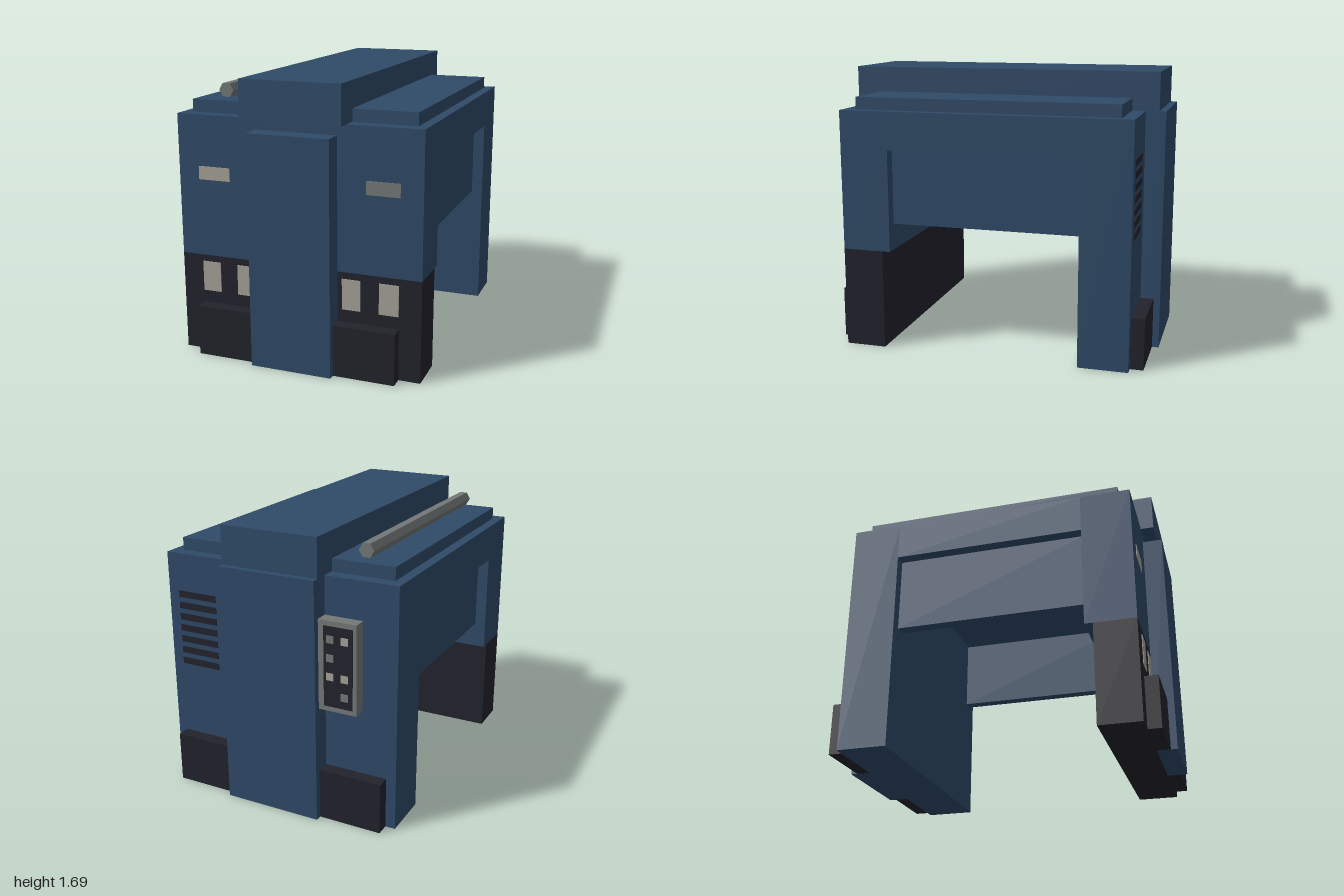
import * as THREE from 'three';

export function createModel() {
  const model = new THREE.Group();
  const mat = (name, color) => {
    const m = new THREE.MeshStandardMaterial({ color });
    m.name = name;
    return m;
  };
  const blue = mat('blue paint', 0x2f4a68);
  const dark = mat('dark base', 0x22222c);
  const beige = mat('beige plate', 0xa5a297);
  const grey = mat('grey metal', 0x737877);

  // Box given by its limits on each axis
  const box = (name, material, [x0, x1], [y0, y1], [z0, z1]) => {
    const mesh = new THREE.Mesh(new THREE.BoxGeometry(x1 - x0, y1 - y0, z1 - z0), material);
    mesh.position.set((x0 + x1) / 2, (y0 + y1) / 2, (z0 + z1) / 2);
    mesh.name = name;
    model.add(mesh);
    return mesh;
  };
  // The same box on both sides of x = 0
  const pair = (name, material, [x0, x1], y, z) => {
    box(name + 'Left', material, [x0, x1], y, z);
    box(name + 'Right', material, [-x1, -x0], y, z);
  };

  // Gantry: two towers joined by a roof
  box('frontTower', blue, [-0.75, 0.75], [0.61, 1.46], [0.58, 0.88]);
  box('frontBase', dark, [-0.75, 0.75], [0, 0.61], [0.63, 0.88]);
  box('backTower', blue, [-0.75, 0.75], [0, 1.46], [-0.88, -0.58]);
  box('roof', blue, [-0.75, 0.75], [1.23, 1.46], [-0.58, 0.58]);
  pair('sidePanel', blue, [0.61, 0.68], [0.77, 1.23], [-0.58, 0.58]);

  // Roof covers and centre spine
  pair('roofCover', blue, [0.31, 0.69], [1.46, 1.535], [-0.8, 0.8]);
  box('roofSpine', blue, [-0.305, 0.305], [1.46, 1.69], [-0.96, 0.96]);
  box('frontColumn', blue, [-0.25, 0.25], [0, 1.395], [0.88, 1]);
  box('backColumn', blue, [-0.305, 0.305], [0, 1.46], [-1, -0.88]);

  // Kick boxes at the feet
  pair('frontKickBox', dark, [0.25, 0.62], [0, 0.31], [0.88, 0.96]);
  pair('backKickBox', dark, [0.305, 0.69], [0, 0.31], [-0.96, -0.88]);

  // Painted front plates
  const skin = [0.88, 0.884];
  pair('innerWindow', beige, [0.277, 0.388], [0.385, 0.57], skin);
  pair('outerWindow', beige, [0.5, 0.617], [0.385, 0.57], skin);
  box('labelRight', beige, [-0.62, -0.42], [1.075, 1.155], skin);
  box('labelLeft', grey, [0.42, 0.62], [1.075, 1.155], skin);

  // Vent slots on the back
  for (let i = 0; i < 7; i++) {
    const y = 1.21 - i * 0.071;
    box('ventSlot', dark, [0.42, 0.68], [y - 0.02, y + 0.02], [-0.884, -0.88]);
  }

  // Control panel on the back
  box('controlPanel', grey, [-0.54, -0.305], [0.7, 1.235], [-0.96, -0.88]);
  box('controlFace', dark, [-0.518, -0.34], [0.73, 1.205], [-0.964, -0.96]);
  const buttons = [
    [-0.38, 1.13, grey], [-0.38, 1.02, grey], [-0.38, 0.91, beige],
    [-0.47, 1.13, beige], [-0.47, 0.91, beige], [-0.47, 0.8, grey],
  ];
  for (const [x, y, m] of buttons) {
    box('button', m, [x - 0.022, x + 0.022], [y - 0.022, y + 0.022], [-0.968, -0.964]);
  }

  // Six-sided pipe along the roof
  const pipeShape = new THREE.CylinderGeometry(0.046, 0.046, 1.5, 6).toNonIndexed();
  pipeShape.rotateY(Math.PI / 2);
  pipeShape.rotateX(Math.PI / 2);
  pipeShape.computeVertexNormals();
  const pipe = new THREE.Mesh(pipeShape, grey);
  pipe.position.set(-0.493, 1.59, 0);
  pipe.name = 'roofPipe';
  model.add(pipe);

  return model;
}
